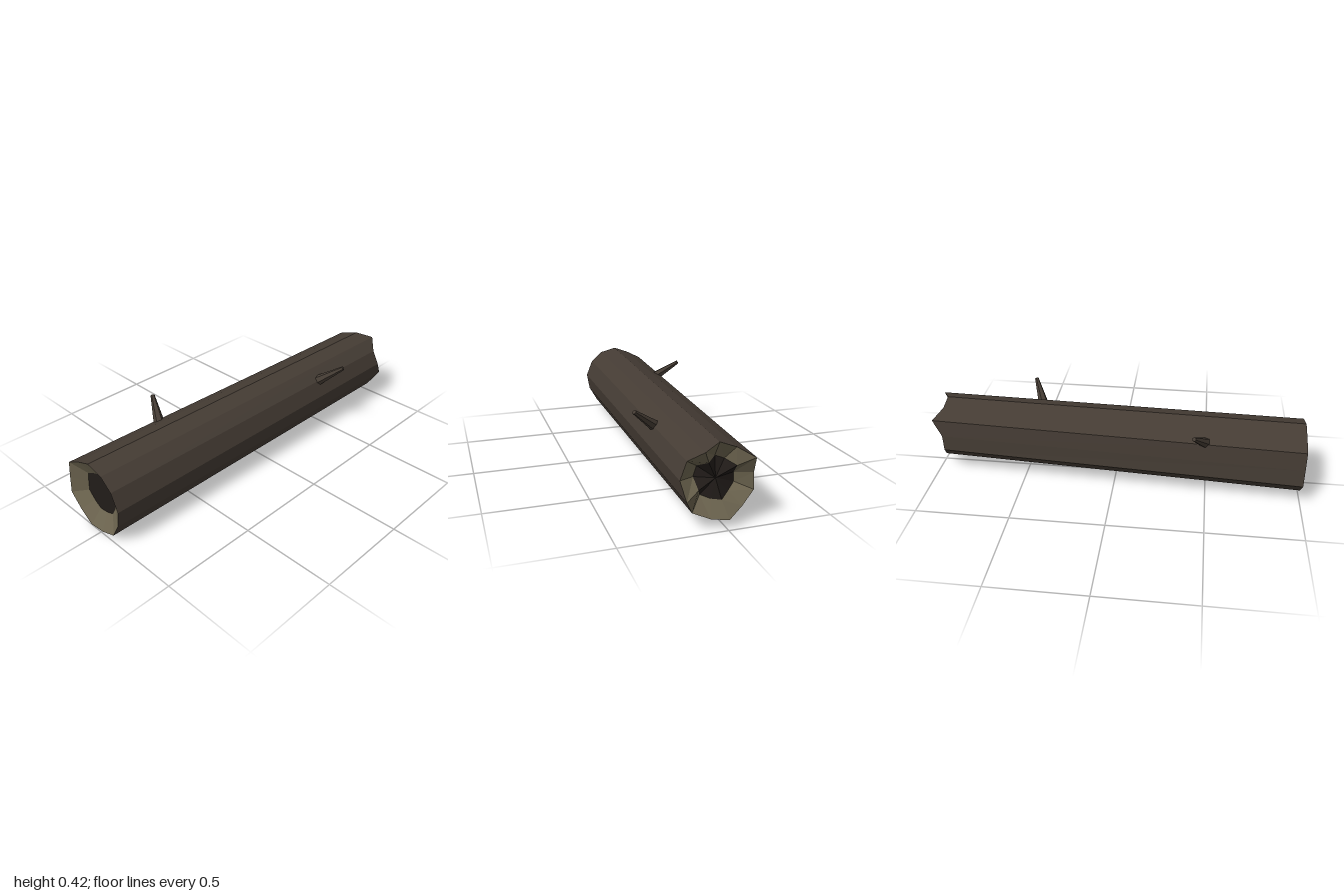
import * as THREE from 'three';

const material = (color) => new THREE.MeshStandardMaterial({ color, flatShading: true, roughness: 0.9 });
const bark = material(0x453c34), wood = material(0x6b634e), hollow = material(0x211c19);

// End outlines as [z, y], in matching order around the log
const brokenOutline = [
  [0.209, 0.242], [0.175, 0.322], [0.116, 0.376], [0.032, 0.396], [-0.045, 0.367], [-0.118, 0.326], [-0.132, 0.238],
  [-0.138, 0.154], [-0.079, 0.092], [-0.009, 0.044], [0.073, 0.054], [0.152, 0.085], [0.195, 0.16]];
const cutOutline = [
  [0.168, 0.222], [0.13, 0.315], [0.064, 0.372], [-0.029, 0.395], [-0.114, 0.363], [-0.198, 0.319], [-0.211, 0.222],
  [-0.22, 0.127], [-0.152, 0.056], [-0.077, 0.003], [0.018, 0.015], [0.105, 0.047], [0.152, 0.13]];
// Splintered end: x of each corner
const jag = [0.95, 0.94, 1, 0.95, 0.955, 1, 0.95, 0.945, 0.96, 0.985, 0.97, 0.95, 1];

const ring = (outline, x) => outline.map(([z, y], i) => new THREE.Vector3(x(i), y, z));

const middle = (points) =>
  points.reduce((sum, p) => sum.add(p), new THREE.Vector3()).divideScalar(points.length);

// Smaller ring sunk into the end along x
function sunkRing(points, depth) {
  const c = middle(points);
  return points.map((p) => new THREE.Vector3(
    p.x + depth, c.y + (p.y - c.y) * 0.56, c.z + (p.z - c.z) * 0.56));
}

function meshFrom(name, corners, mat) {
  const geometry = new THREE.BufferGeometry().setFromPoints(corners);
  geometry.computeVertexNormals();
  const mesh = new THREE.Mesh(geometry, mat);
  mesh.name = name;
  return mesh;
}

// Band of quads from ring a to ring b
function band(name, a, b, mat) {
  const corners = a.flatMap((p, i) => {
    const j = (i + 1) % a.length;
    return [p, b[i], b[j], p, b[j], a[j]];
  });
  return meshFrom(name, corners, mat);
}

// Fan closing a ring, facing +x or -x
function cap(name, points, facing, mat) {
  const c = middle(points);
  const corners = points.flatMap((p, i) => {
    const q = points[(i + 1) % points.length];
    return facing > 0 ? [p, c, q] : [q, c, p];
  });
  return meshFrom(name, corners, mat);
}

// Tapered twig stub between two points
function twig(name, from, to) {
  const a = new THREE.Vector3(...from), b = new THREE.Vector3(...to);
  const dir = b.clone().sub(a);
  const mesh = new THREE.Mesh(new THREE.CylinderGeometry(0.011, 0.029, dir.length(), 6), bark);
  mesh.position.copy(a).add(b).multiplyScalar(0.5);
  mesh.quaternion.setFromUnitVectors(new THREE.Vector3(0, 1, 0), dir.normalize());
  mesh.name = name;
  return mesh;
}

export function createModel() {
  const log = new THREE.Group();
  log.name = 'hollowLog';

  const cut = ring(cutOutline, () => -1);
  const broken = ring(brokenOutline, (i) => jag[i]);
  const cutInner = sunkRing(cut, 0.05);
  const brokenInner = sunkRing(broken, -0.05);

  log.add(
    band('bark', cut, broken, bark),
    band('brokenRim', broken, brokenInner, wood),
    band('cutRim', cutInner, cut, wood),
    cap('brokenHollow', brokenInner, 1, hollow),
    cap('cutHollow', cutInner, -1, hollow),
    twig('frontTwig', [0.435, 0.315, 0.15], [0.497, 0.415, 0.273]),
    twig('backTwig', [-0.485, 0.315, -0.15], [-0.422, 0.408, -0.272]),
  );
  return log;
}
